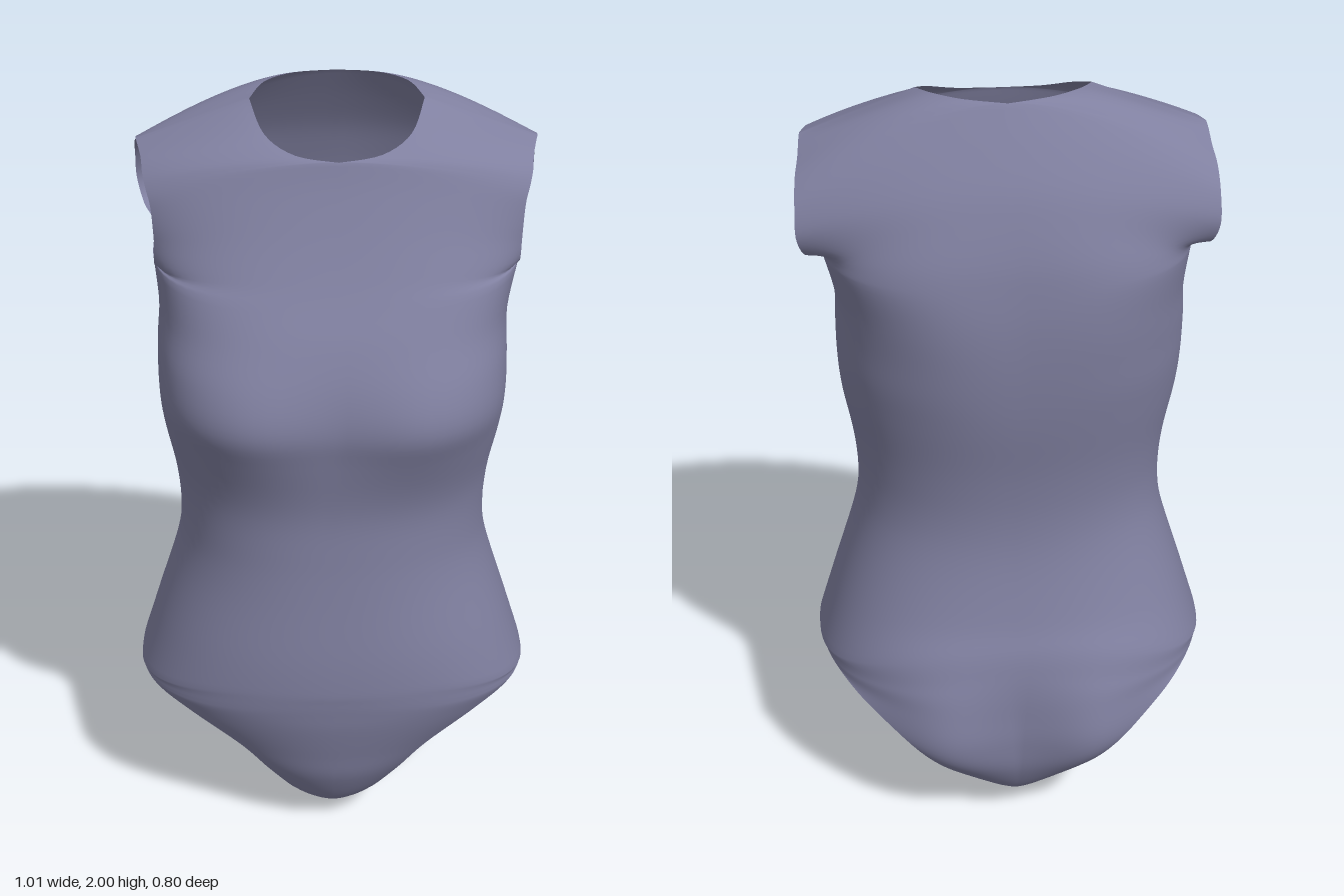
import * as THREE from 'three';
import { mergeGeometries, mergeVertices } from 'three/addons/utils/BufferGeometryUtils.js';

const STEPS = 5;   // sub-rows between two key rows
const ACROSS = 22; // segments from the centre line to the outer edge

// Side seam from hip corner to underarm, shared by front and back: [x, y, z]
const seam = [
  [0.505, 0.45, 0.03], [0.46, 0.6, 0.02], [0.4, 0.8, 0.02], [0.385, 0.92, 0.02], [0.393, 1.05, 0.02],
  [0.418, 1.2, 0.01], [0.425, 1.3, 0], [0.425, 1.4, -0.01], [0.422, 1.5, -0.02], [0.44, 1.615, -0.03],
];

// Key rows: inner x, y, z, outer x, y, z, squareness (2 is an ellipse),
// trim (how far before the side seam the section is cut: 0 at the seam, 1 at the centre)
const frontLeg = [
  [0, 0, 0, 0.037, 0.005, 0, 2, 0.85], [0, 0.02, 0.12, 0.065, 0.03, 0.1, 2, 0.85],
  [0, 0.08, 0.22, 0.095, 0.09, 0.19, 2, 0.85], [0, 0.2, 0.295, 0.165, 0.2, 0.245, 2, 0.82],
  [0, 0.3, 0.325, 0.24, 0.3, 0.265, 2, 0.79], [0, 0.4, 0.35, 0.36, 0.395, 0.25, 2.1, 0.69],
  [0, 0.46, 0.36, 0.448, 0.437, 0.195, 2.2, 0.5], [0, 0.5, 0.365, 0.49, 0.447, 0.12, 2.2, 0.27],
];
const frontArm = [
  [0, 1.65, 0.26, 0.433, 1.62, 0.11, 3, 0.48], [0, 1.735, 0.222, 0.432, 1.69, 0.13, 2.7, 0.64],
  [0, 1.83, 0.185, 0.437, 1.77, 0.125, 2.4, 0.72], [0, 1.895, 0.165, 0.447, 1.81, 0.11, 2.2, 0.72],
  [0.1, 1.905, 0.145, 0.455, 1.84, 0.085, 2, 0.75], [0.17, 1.935, 0.09, 0.46, 1.865, 0.045, 2, 0.8],
  [0.205, 1.98, -0.02, 0.475, 1.88, -0.03, 2, 0.8],
];
const backLeg = [
  [0, 0, 0, 0.037, 0.005, 0, 2, 0.85], [0, 0.01, -0.1, 0.016, 0.015, -0.1, 2, 0.9],
  [0, 0.035, -0.2, 0.035, 0.06, -0.195, 2, 0.9], [0, 0.09, -0.29, 0.135, 0.15, -0.27, 2, 0.9],
  [0, 0.19, -0.345, 0.2, 0.235, -0.315, 2, 0.9], [0, 0.29, -0.36, 0.295, 0.325, -0.322, 2.2, 0.88],
  [0, 0.38, -0.362, 0.39, 0.397, -0.278, 2.5, 0.79], [0, 0.45, -0.362, 0.457, 0.437, -0.19, 2.7, 0.56],
  [0, 0.51, -0.357, 0.492, 0.448, -0.09, 2.7, 0.31],
];
const backArm = [
  [0, 1.66, -0.311, 0.447, 1.63, -0.12, 3, 0.32], [0, 1.74, -0.29, 0.472, 1.643, -0.188, 2.6, 0.63],
  [0, 1.82, -0.262, 0.49, 1.7, -0.215, 2.2, 0.8], [0, 1.91, -0.215, 0.49, 1.77, -0.195, 2, 0.85],
  [0, 1.995, -0.165, 0.487, 1.82, -0.15, 2, 0.85], [0.1, 1.998, -0.14, 0.48, 1.85, -0.1, 2, 0.8],
  [0.17, 1.995, -0.09, 0.477, 1.872, -0.06, 2, 0.8], [0.205, 1.98, -0.02, 0.475, 1.88, -0.03, 2, 0.8],
];

// Centre line beside the seam: y, z, squareness
const frontCentre = [
  [0.54, 0.368, 2.2], [0.64, 0.365, 2.3], [0.8, 0.352, 2.3], [0.92, 0.345, 2.3], [1.05, 0.345, 2.4],
  [1.2, 0.37, 2.8], [1.3, 0.386, 3.3], [1.4, 0.373, 3.3], [1.5, 0.337, 3.1], [1.59, 0.29, 3],
];
const backCentre = [
  [0.57, -0.346, 2.7], [0.65, -0.32, 2.5], [0.8, -0.285, 2.4], [0.92, -0.275, 2.3], [1.05, -0.285, 2.3],
  [1.2, -0.31, 2.3], [1.3, -0.322, 2.4], [1.4, -0.328, 2.5], [1.5, -0.328, 2.8], [1.59, -0.321, 3.1],
];

const bump = (x, y, cx, cy, sx, sy) =>
  Math.exp(-(((x - cx) / sx) ** 2) - ((y - cy) / sy) ** 2);

// Smooth interpolation of one column of the rows, with corners at the cuts
function sample(rows, col, i, t, cuts) {
  const b = rows[i][col], c = rows[i + 1][col];
  const a = i === 0 || cuts.includes(i) ? b : rows[i - 1][col];
  const d = i + 2 >= rows.length || cuts.includes(i + 1) ? c : rows[i + 2][col];
  return 0.5 * (2 * b + (c - a) * t + (2 * a - 5 * b + 4 * c - d) * t * t + (3 * b - a - 3 * c + d) * t ** 3);
}

// One half panel, from the centre or neck line out to the leg, seam or arm edge
function halfPanel(leg, centre, arm, side, facing) {
  // the last column eases the height across a row, level near the centre
  const rows = [
    ...leg.map((r) => [...r, 1.5]),
    ...seam.map((p, k) => [0, centre[k][0], centre[k][1], ...p, centre[k][2], 0, 2.5]),
    ...arm.map((r, k) => [...r, 2.5 - (1.5 * k) / (arm.length - 1)]),
  ];
  const neck = rows.findIndex((r) => r[0] > 0) - 1;
  const edgeCuts = [leg.length, leg.length + seam.length - 1];
  const cuts = (c) => (c < 3 ? [neck] : c === 6 || c === 8 ? [] : edgeCuts);
  const pos = [], index = [];
  const total = (rows.length - 1) * STEPS;
  for (let r = 0; r <= total; r++) {
    const i = Math.min(Math.floor(r / STEPS), rows.length - 2);
    const t = r / STEPS - i;
    const [ix, iy, iz, ox, oy, oz, n, trimRaw, ease] = rows[0].map((_, c) => sample(rows, c, i, t, cuts(c)));
    // the section is the first stretch of a superellipse, cut off at the trim
    const trim = THREE.MathUtils.clamp(trimRaw, 0, 0.92);
    const reach = (1 - trim ** n) ** (1 / n);
    const sweep = Math.atan2(reach, trim);
    for (let j = 0; j <= ACROSS; j++) {
      const a = (j / ACROSS) * sweep;
      const s = Math.sin(a), c = Math.max(0, Math.cos(a));
      const k = (s ** n + c ** n) ** (-1 / n);
      const out = j === ACROSS ? 1 : (s * k) / reach;
      const depth = j === ACROSS ? 0 : (c * k - trim) / (1 - trim);
      const x = ix + (ox - ix) * out;
      const y = iy + (oy - iy) * out ** ease;
      let z = oz + (iz - oz) * depth;
      // bust in front, seat and shoulder blades behind, fading out at the side seam
      const fade = THREE.MathUtils.clamp((z * facing - 0.035) / 0.17, 0, 1);
      if (facing > 0) z += 0.025 * fade * bump(x, y, 0.21, 1.3, 0.15, 0.14);
      else z -= fade * (0.05 * bump(x, y, 0.2, 0.29, 0.14, 0.2) + 0.01 * bump(x, y, 0.2, 1.5, 0.14, 0.25));
      // the shoulders sit slightly towards the left
      const lean = 0.013 * THREE.MathUtils.smoothstep(y, 1.4, 1.7);
      pos.push(side * x + lean, y, z);
      if (r < total && j < ACROSS) {
        const p = r * (ACROSS + 1) + j, q = p + ACROSS + 1;
        if (side * facing > 0) index.push(p, p + 1, q + 1, p, q + 1, q);
        else index.push(p, q + 1, p + 1, p, q, q + 1);
      }
    }
  }
  const g = new THREE.BufferGeometry();
  g.setAttribute('position', new THREE.Float32BufferAttribute(pos, 3));
  g.setIndex(index);
  return g;
}

export function createModel() {
  const fabric = new THREE.MeshStandardMaterial({ color: 0x8080a0, side: THREE.DoubleSide });
  fabric.name = 'slate lilac fabric';

  // four half panels sewn together into one smooth garment
  const panels = [];
  for (const side of [1, -1]) {
    panels.push(halfPanel(frontLeg, frontCentre, frontArm, side, 1));
    panels.push(halfPanel(backLeg, backCentre, backArm, side, -1));
  }
  const geometry = mergeVertices(mergeGeometries(panels), 1e-4);
  geometry.computeVertexNormals();

  const bodysuit = new THREE.Mesh(geometry, fabric);
  bodysuit.name = 'bodysuit';
  const model = new THREE.Group();
  model.name = 'sleevelessBodysuit';
  model.add(bodysuit);
  return model;
}
